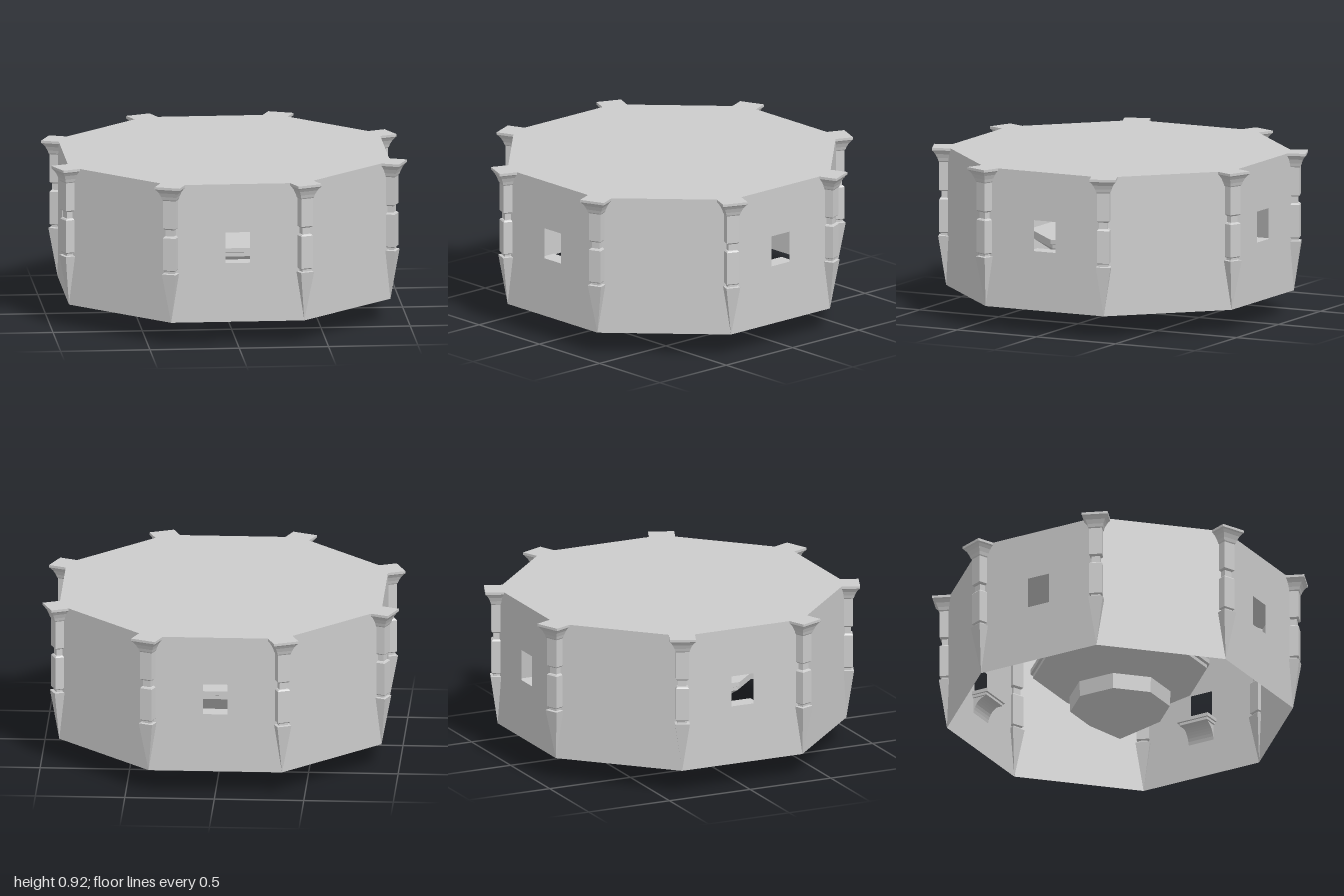
import * as THREE from 'three';

const TOP = 0.915, BASE = 0.13;
const APOTHEM = 0.9;
const RADIUS = APOTHEM / Math.cos(Math.PI / 8);
const SIDE = 2 * APOTHEM * Math.tan(Math.PI / 8);

const stone = new THREE.MeshStandardMaterial({ color: 0xcccccc, flatShading: true });
const thinStone = new THREE.MeshStandardMaterial({ color: 0xcccccc, flatShading: true, side: THREE.DoubleSide });

function add(parent, name, geometry, material = stone) {
  const mesh = new THREE.Mesh(geometry, material);
  mesh.name = name;
  parent.add(mesh);
  return mesh;
}

// Faceted turned form from [radius, y] pairs, listed bottom to top
function turned(profile, sides) {
  const points = profile.map(([r, y]) => new THREE.Vector2(r, y));
  return new THREE.LatheGeometry(points, sides, Math.PI / sides);
}

// Flat wall panel, optionally pierced by a window
function wallPanel(hasWindow) {
  const h = SIDE / 2;
  const shape = new THREE.Shape([
    new THREE.Vector2(-h, BASE), new THREE.Vector2(h, BASE),
    new THREE.Vector2(h, TOP), new THREE.Vector2(-h, TOP),
  ]);
  if (hasWindow) {
    shape.holes.push(new THREE.Path([
      new THREE.Vector2(-0.068, 0.465), new THREE.Vector2(-0.068, 0.64),
      new THREE.Vector2(0.068, 0.64), new THREE.Vector2(0.068, 0.465),
    ]));
  }
  return new THREE.ShapeGeometry(shape);
}

// Inner window ledge carried on a curved bracket
function windowLedge() {
  const group = new THREE.Group();
  group.name = 'windowLedge';
  const slab = add(group, 'ledgeSlab', new THREE.BoxGeometry(0.2, 0.02, 0.1));
  slab.position.set(0, 0.454, -0.05);
  const lip = add(group, 'ledgeLip', new THREE.BoxGeometry(0.18, 0.015, 0.088));
  lip.position.set(0, 0.437, -0.044);

  const cove = new THREE.Shape();
  cove.moveTo(0, 0.43);
  cove.lineTo(0, 0.34);
  cove.quadraticCurveTo(0.015, 0.42, 0.08, 0.43);
  const bracket = add(group, 'ledgeBracket', new THREE.ExtrudeGeometry(cove, {
    depth: 0.16, bevelEnabled: false, curveSegments: 8,
  }));
  bracket.rotation.y = Math.PI / 2;
  bracket.position.x = -0.08;
  bracket.geometry.translate(0, 0, 0);
  return group;
}

// Square corner column: spike, two blocks, necks and a flared capital
function columnGeometry() {
  const halfWidths = [
    [0, BASE], [0.041, 0.412], [0.026, 0.415], [0.026, 0.428],
    [0.03, 0.428], [0.036, 0.434], [0.036, 0.618], [0.03, 0.625],
    [0.024, 0.628], [0.024, 0.664], [0.03, 0.667], [0.036, 0.673],
    [0.036, 0.832], [0.04, 0.838], [0.045, 0.855], [0.055, 0.878],
    [0.066, 0.894], [0.073, 0.901], [0.073, TOP], [0, TOP],
  ];
  return turned(halfWidths.map(([s, y]) => [s * Math.SQRT2, y]), 4);
}

export function createModel() {
  const model = new THREE.Group();
  model.name = 'octagonalChamber';

  // Flat roof
  const roof = add(model, 'roof', new THREE.CircleGeometry(RADIUS, 8, Math.PI / 8), thinStone);
  roof.rotation.x = -Math.PI / 2;
  roof.position.y = TOP;

  const column = columnGeometry();
  for (let i = 0; i < 8; i++) {
    // Walls, with windows and ledges on every other side
    const bay = new THREE.Group();
    bay.name = 'wallBay';
    bay.rotation.y = i * Math.PI / 4;
    const hasWindow = i % 2 === 0;
    add(bay, 'wall', wallPanel(hasWindow), thinStone).position.z = APOTHEM;
    if (hasWindow) {
      const ledge = windowLedge();
      ledge.position.z = APOTHEM - 0.001;
      // the bracket profile runs inward from the wall
      ledge.getObjectByName('ledgeBracket').position.z = 0;
      bay.add(ledge);
    }
    model.add(bay);

    // Column on the corner
    const corner = new THREE.Group();
    corner.name = 'cornerColumn';
    corner.rotation.y = (i + 0.5) * Math.PI / 4;
    add(corner, 'column', column).position.z = RADIUS;
    model.add(corner);
  }

  // Faceted pendant bowl in the middle
  add(model, 'pendantBowl', turned([
    [0, 0], [0.28, 0.185], [0.285, 0.275], [0.49, 0.405],
    [0.49, 0.425], [0.505, 0.43], [0.505, 0.455], [0, 0.455],
  ], 8));

  return model;
}
